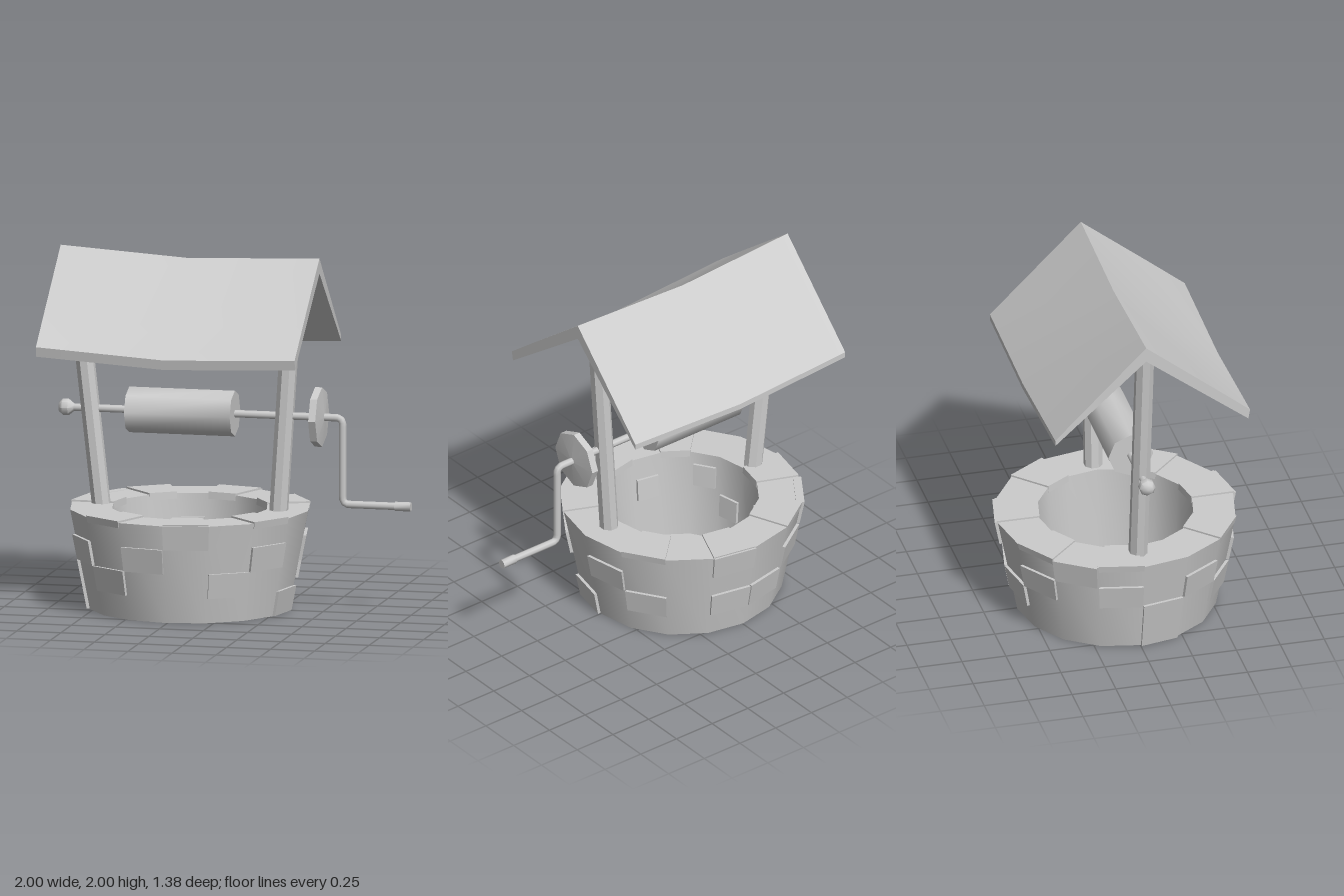
import * as THREE from 'three';
import { toCreasedNormals } from 'three/addons/utils/BufferGeometryUtils.js';

const CX = -0.255, H = 0.56, STEP = Math.PI / 8;
const outerR = y => 0.56 + 0.11 * y / H;
const innerR = y => 0.4 + 0.035 * y / H;

export function createModel() {
  const root = new THREE.Group();
  const mat = new THREE.MeshStandardMaterial({ color: 0xcccccc });
  const add = (geo, name, parent = root) => {
    const mesh = new THREE.Mesh(geo, mat);
    mesh.name = name;
    parent.add(mesh);
    return mesh;
  };
  const group = name => {
    const g = new THREE.Group();
    g.name = name;
    root.add(g);
    return g;
  };

  // Stone basin: tapered, 16-sided and hollow
  const well = group('well');
  well.position.x = CX;
  const profile = [[0, 0], [0.56, 0], [0.67, H], [0.435, H], [0.403, 0.04], [0, 0.04]]
    .map(p => new THREE.Vector2(...p));
  add(toCreasedNormals(new THREE.LatheGeometry(profile, 16), 0.6), 'wellWall', well);

  // A box bent onto one side of the basin
  const block = (k, y0, y1, rIn, rOut, inset) => {
    const geo = new THREE.BoxGeometry(1, 1, 1), p = geo.attributes.position;
    for (let i = 0; i < p.count; i++) {
      const a = (k + 0.5 + p.getX(i) * (1 - inset)) * STEP;
      const y = p.getY(i) > 0 ? y1 : y0;
      const r = p.getZ(i) > 0 ? rOut(y) : rIn(y);
      p.setXYZ(i, Math.sin(a) * r, y, Math.cos(a) * r);
    }
    geo.computeVertexNormals();
    return geo;
  };

  // Protruding bricks, listed by row from the ground up
  const rows = [[3, -4], [1, -2, 5, 7, -8, -4], [-1, -3, 2, 4, -7, -5], [0, 7, -6]];
  rows.forEach((row, j) => row.forEach(k => add(
    block(k, j * 0.14 + 0.003, (j + 1) * 0.14 + 0.003,
      y => outerR(y) - 0.03, y => outerR(y) + 0.017, 0.03),
    'outerBrick', well)));
  [[8, 0.3], [10, 0.3], [12, 0.2], [13, 0.36], [15, 0.3]].forEach(([k, y]) => add(
    block(k, y, y + 0.13, y => innerR(y) - 0.017, y => innerR(y) + 0.03, 0.2),
    'innerBrick', well));
  // Raised slabs on the rim
  [-7, -5, -2, 0, 2, 5, 7].forEach(k => add(
    block(k, H - 0.03, H + 0.01, y => innerR(y) - 0.003, y => outerR(y) + 0.004, 0.03),
    'rimSlab', well));

  // Leaning octagonal posts
  const post = (x0, y0, x1, y1, name) => {
    const dir = new THREE.Vector3(x1 - x0, y1 - y0, 0);
    const geo = new THREE.CylinderGeometry(0.053, 0.053, dir.length(), 8);
    geo.rotateY(STEP);
    const mesh = add(toCreasedNormals(geo, 0.5), name);
    mesh.position.set((x0 + x1) / 2, (y0 + y1) / 2, 0);
    mesh.quaternion.setFromUnitVectors(new THREE.Vector3(0, 1, 0), dir.normalize());
  };
  post(0.242, 0.45, 0.335, 1.9, 'leftPost');
  post(-0.747, 0.45, -0.913, 1.92, 'rightPost');

  // Axle and crank: one bent rod
  const winch = group('winch');
  const v = (x, y) => new THREE.Vector3(x, y, 0);
  const rod = new THREE.CurvePath();
  rod.add(new THREE.LineCurve3(v(-0.95, 1.09), v(0.575, 1.09)));
  rod.add(new THREE.QuadraticBezierCurve3(v(0.575, 1.09), v(0.612, 1.09), v(0.612, 1.05)));
  rod.add(new THREE.LineCurve3(v(0.612, 1.05), v(0.612, 0.645)));
  rod.add(new THREE.QuadraticBezierCurve3(v(0.612, 0.645), v(0.612, 0.607), v(0.65, 0.607)));
  rod.add(new THREE.LineCurve3(v(0.65, 0.607), v(0.93, 0.607)));
  add(new THREE.TubeGeometry(rod, 120, 0.021, 8), 'axleAndCrank', winch);

  // Turned parts along the axle; profile points are [radius, x]
  const turned = (pts, y, crease, name) => {
    const geo = new THREE.LatheGeometry(pts.map(p => new THREE.Vector2(...p)), 8);
    geo.rotateZ(-Math.PI / 2);
    add(toCreasedNormals(geo, crease), name, winch).position.y = y;
  };
  turned([[0, -0.6], [0.128, -0.6], [0.128, 0], [0, 0]], 1.09, 0.9, 'drum');
  turned([[0, 0.437], [0.167, 0.455], [0.167, 0.495], [0, 0.512]], 1.09, 0.1, 'wheel');
  turned([[0, -1], [0.03, -0.995], [0.046, -0.975], [0.046, -0.942], [0.02, -0.91]], 1.09, 0.9, 'endKnob');
  turned([[0, 0.91], [0.026, 0.91], [0.026, 1], [0, 1]], 0.607, 0.9, 'crankGrip');

  // Sagging roof: one gable cross-section [z, y] repeated along x
  const section = [[0.58, 1.52], [0.37, 1.69], [-0.012, 1.995], [-0.53, 1.478],
    [-0.53, 1.445], [-0.012, 1.91], [0.57, 1.465]];
  const columns = [[-0.992, 0, 0], [-0.26, -0.046, 0.03], [0.477, -0.018, 0]]; // x, sag, dent
  const pos = [], idx = [], n = section.length;
  columns.forEach(([x, sag, dent]) => section.forEach(([z, y], j) =>
    pos.push(x, y + sag - (j === 1 ? dent : 0), z)));
  for (let i = 0; i < columns.length - 1; i++) {
    for (let j = 0; j < n; j++) {
      const a = i * n + j, d = i * n + (j + 1) % n, b = a + n, c = d + n;
      idx.push(a, b, c, a, c, d);
    }
  }
  const last = (columns.length - 1) * n;
  [[0, 1, 6], [1, 5, 6], [1, 2, 5], [2, 3, 5], [3, 4, 5]].forEach(([a, b, c]) =>
    idx.push(a, b, c, last + a, last + c, last + b));
  const roof = new THREE.BufferGeometry();
  roof.setAttribute('position', new THREE.Float32BufferAttribute(pos, 3));
  roof.setIndex(idx);
  add(toCreasedNormals(roof, 0.6), 'roof');

  return root;
}
